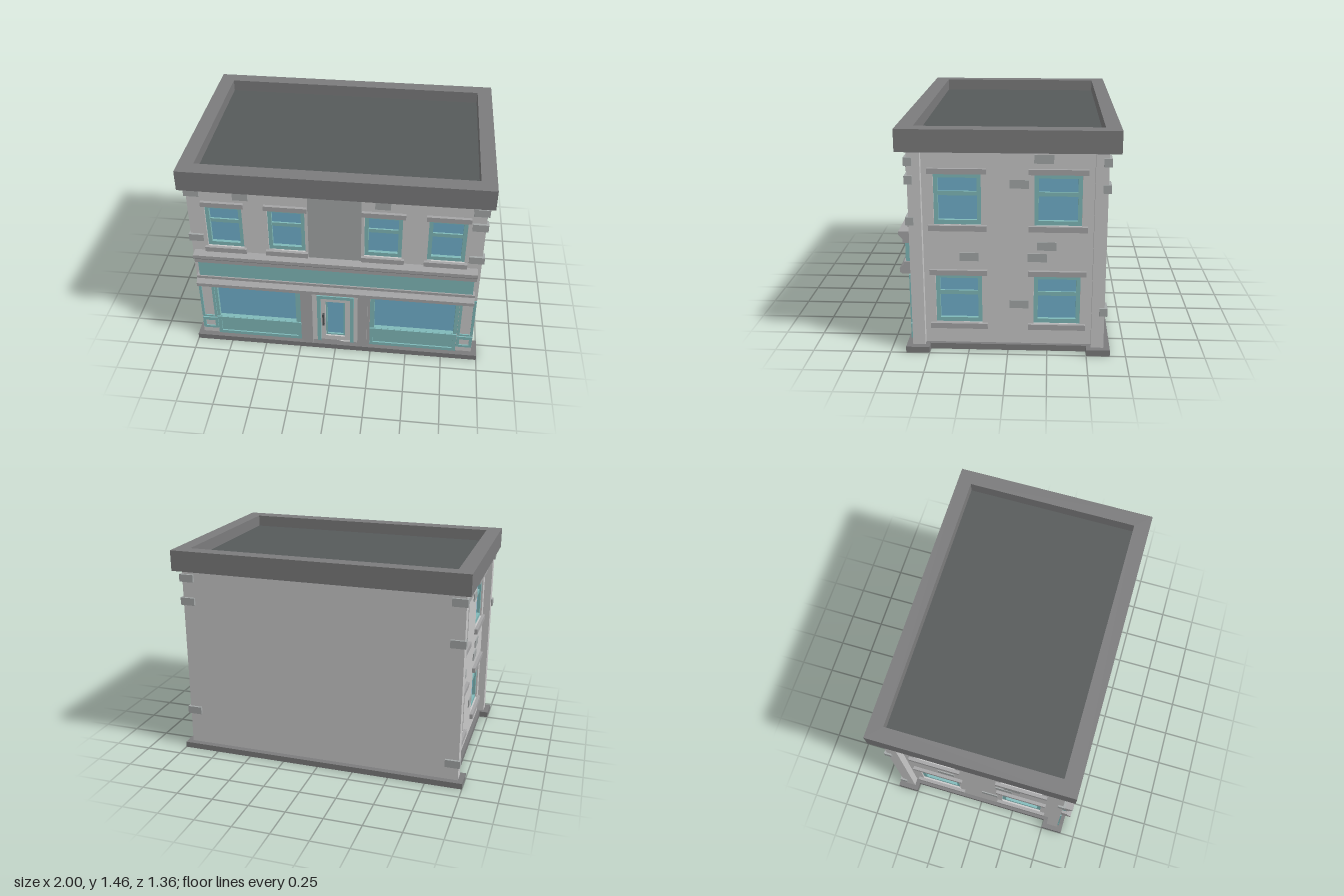
import * as THREE from 'three';

const flat = (name, color) => {
  const m = new THREE.MeshStandardMaterial({ color });
  m.name = name;
  return m;
};

export function createModel() {
  const wall = flat('pale wall', 0xc8c8c8);
  const stone = flat('stone trim', 0xa5a5a6);
  const brick = flat('brick grey', 0xa4a8a8);
  const dark = flat('dark cornice', 0x7b7b7c);
  const roofMat = flat('roof felt', 0x565a5a);
  const teal = flat('teal paint', 0x80b9b9);
  const glass = flat('blue glass', 0x70b0cc);
  const metal = flat('handle metal', 0x505254);

  const model = new THREE.Group();
  model.name = 'cornerShop';

  const add = (parent, name, geo, mat) => {
    const m = new THREE.Mesh(geo, mat);
    m.name = name;
    parent.add(m);
    return m;
  };
  // Box given by its limits on each axis
  const box = (parent, name, mat, x0, x1, y0, y1, z0, z1) => {
    const g = new THREE.BoxGeometry(x1 - x0, y1 - y0, z1 - z0);
    g.translate((x0 + x1) / 2, (y0 + y1) / 2, (z0 + z1) / 2);
    return add(parent, name, g, mat);
  };
  const rect = (x0, x1, y0, y1, T = THREE.Shape) =>
    new T([[x0, y0], [x1, y0], [x1, y1], [x0, y1]].map(p => new THREE.Vector2(...p)));
  // Flat slab [x0, x1, y0, y1] with rectangular openings, from z0 to z1
  const slab = (outer, holes, z0, z1) => {
    const s = rect(...outer);
    holes.forEach(h => s.holes.push(rect(...h, THREE.Path)));
    return new THREE.ExtrudeGeometry(s, { depth: z1 - z0, bevelEnabled: false }).translate(0, 0, z0);
  };
  const group = (name, parent = model) => {
    const g = new THREE.Group();
    g.name = name;
    parent.add(g);
    return g;
  };

  // Sash window in a wall whose face is at z = f
  const sash = (parent, cx, y0, w, f, lintelW) => {
    const g = group('sashWindow', parent);
    const a = cx - w / 2, b = cx + w / 2, y1 = y0 + 0.33, l = lintelW / 2;
    const ga = a + 0.026, gb = b - 0.026;
    add(g, 'windowFrame', slab([a, b, y0, y1], [[ga, gb, y0 + 0.028, y1 - 0.03]], f - 0.05, f - 0.012), teal);
    box(g, 'windowGlass', glass, ga, gb, y0 + 0.028, y1 - 0.03, f - 0.05, f - 0.034);
    box(g, 'meetingRail', teal, ga, gb, y0 + 0.184, y0 + 0.211, f - 0.04, f - 0.022);
    box(g, 'lintel', stone, cx - l, cx + l, y1, y1 + 0.034, f - 0.03, f + 0.022);
    box(g, 'windowSill', stone, cx - l, cx + l, y0 - 0.036, y0, f - 0.03, f + 0.022);
  };

  // Plinth, notched along both sides
  box(model, 'plinth', dark, -0.94, 0.94, 0, 0.04, -0.65, 0.65);
  for (const s of [-1, 1]) for (const t of [-1, 1]) {
    const x = [0.94 * s, s].sort((p, q) => p - q), z = [0.5 * t, 0.65 * t].sort((p, q) => p - q);
    box(model, 'plinthCorner', dark, ...x, 0, 0.04, ...z);
  }

  // Wall core, back wall and front wall with openings
  const frontX = [-0.732, -0.32, 0.315, 0.727];
  const shopX = [[-0.85, -0.245], [0.24, 0.85]];
  box(model, 'wallCore', wall, -0.86, 0.86, 0.02, 1.33, -0.54, 0.53);
  box(model, 'backWall', wall, -0.965, 0.962, 0.02, 1.33, -0.61, -0.53);
  const openings = [
    ...frontX.map(x => [x - 0.1225, x + 0.1225, 0.84, 1.17]),
    ...shopX.map(p => [...p, 0.04, 0.52]),
    [-0.13, 0.127, 0.04, 0.465],
  ];
  add(model, 'frontWall', slab([-0.965, 0.962, 0.02, 1.33], openings, 0.53, 0.61), wall);
  frontX.forEach(x => sash(model, x, 0.84, 0.245, 0.61, 0.282));

  // Side walls, each a half turn from the other
  for (const s of [1, -1]) {
    const side = group(s > 0 ? 'leftSide' : 'rightSide');
    side.rotation.y = s * Math.PI / 2;
    const spots = [];
    for (const x of [-0.312, 0.31]) for (const y of [0.18, 0.84]) spots.push([x, y]);
    add(side, 'sideWall', slab([-0.535, 0.535, 0.02, 1.33],
      spots.map(([x, y]) => [x - 0.147, x + 0.147, y, y + 0.33]), 0.85, 0.915), wall);
    spots.forEach(([x, y]) => sash(side, x, y, 0.294, 0.915, 0.365));
    for (const [x, y] of [[0.22, 1.265], [0.07, 1.107], [0.242, 0.707], [0.183, 0.63], [-0.243, 0.63], [0.07, 0.314]])
      box(side, 'sideBrick', brick, x - 0.06, x + 0.06, y - 0.027, y + 0.027, 0.9, 0.922);
  }

  // Corner stones
  const corners = [
    [1, 1, [1.255, 1.14, 0.878]], [-1, 1, [1.27, 0.91]],
    [1, -1, [1.26, 1.097, 0.29]], [-1, -1, [1.26, 0.99, 0.16]],
  ];
  for (const [sx, sz, ys] of corners) for (const y of ys) {
    const m = box(model, 'cornerStone', brick, -0.05, 0.05, -0.026, 0.026, -0.025, 0.025);
    m.position.set(sx * 0.926, y, sz * 0.602);
  }

  // Front bricks and plain centre panel
  for (const x of [-0.61, 0.308])
    box(model, 'frontBrick', brick, x - 0.05, x + 0.05, 1.228, 1.282, 0.6, 0.618);
  box(model, 'centrePanel', brick, -0.176, 0.172, 0.8, 1.32, 0.6, 0.614);

  // Roof parapet and sunken deck
  const parapet = slab([-1, 1, -0.675, 0.68], [[-0.9, 0.9, -0.57, 0.585]], 1.32, 1.46);
  add(model, 'roofParapet', parapet.rotateX(-Math.PI / 2), dark);
  box(model, 'roofDeck', roofMat, -0.91, 0.91, 1.325, 1.38, -0.595, 0.58);

  // Shop cornices: profiles of [z, y] swept along x
  const cornice = (name, pts) => {
    const s = new THREE.Shape(pts.map(([z, y]) => new THREE.Vector2(-z, y)));
    const g = new THREE.ExtrudeGeometry(s, { depth: 1.89, bevelEnabled: false });
    g.rotateY(Math.PI / 2).translate(-0.95, 0, 0);
    add(model, name, g, stone);
  };
  cornice('upperCornice', [[0.6, 0.8], [0.68, 0.8], [0.68, 0.775], [0.655, 0.75], [0.655, 0.723], [0.6, 0.723]]);
  cornice('lowerCornice', [[0.6, 0.6], [0.652, 0.6], [0.652, 0.58], [0.68, 0.555], [0.68, 0.53], [0.665, 0.52], [0.6, 0.52]]);
  box(model, 'signBoard', teal, -0.932, 0.925, 0.6, 0.724, 0.6, 0.642);

  // Shop windows with panelled bases
  for (const [a, b] of shopX) {
    const g = group('shopWindow');
    const c = a < 0 ? [a + 0.02, b - 0.035] : [a + 0.032, b - 0.025];
    add(g, 'shopFrame', slab([a, b, 0.03, 0.52], [[...c, 0.205, 0.485], [a + 0.025, b - 0.025, 0.065, 0.17]], 0.54, 0.617), teal);
    box(g, 'shopGlass', glass, ...c, 0.2, 0.49, 0.55, 0.588);
    box(g, 'basePanel', teal, a + 0.02, b - 0.02, 0.06, 0.18, 0.55, 0.607);
    box(g, 'shopSill', teal, a, b, 0.188, 0.204, 0.6, 0.626);
  }

  // Painted end pilasters with pale insets
  for (const s of [-1, 1]) {
    const g = group('endPilaster');
    g.position.x = s * 0.906;
    add(g, 'upperPilasterFrame', slab([-0.054, 0.054, 0.193, 0.52], [[-0.036, 0.036, 0.205, 0.505]], 0.605, 0.619), teal);
    add(g, 'lowerPilasterFrame', slab([-0.054, 0.054, 0.085, 0.183], [[-0.034, 0.034, 0.103, 0.157]], 0.605, 0.619), teal);
  }

  // Door and stone posts beside it
  for (const x of [-0.193, 0.19])
    box(model, 'doorPost', stone, x - 0.033, x + 0.033, 0.04, 0.52, 0.6, 0.642);
  for (const x of [-0.235, 0.231])
    box(model, 'postEdge', stone, x - 0.01, x + 0.01, 0.04, 0.52, 0.6, 0.622);
  const door = group('door');
  add(door, 'doorFrame', slab([-0.13, 0.127, 0.03, 0.465], [[-0.105, 0.102, 0.035, 0.44]], 0.54, 0.618), teal);
  add(door, 'doorLeaf', slab([-0.106, 0.103, 0.035, 0.441], [[-0.072, 0.066, 0.078, 0.4]], 0.55, 0.6), wall);
  add(door, 'doorGlassTrim', slab([-0.072, 0.066, 0.078, 0.4], [[-0.06, 0.054, 0.088, 0.388]], 0.55, 0.588), teal);
  box(door, 'doorGlass', glass, -0.065, 0.06, 0.08, 0.395, 0.55, 0.575);
  box(door, 'doorHandle', metal, -0.094, -0.08, 0.19, 0.29, 0.595, 0.62);

  return model;
}
